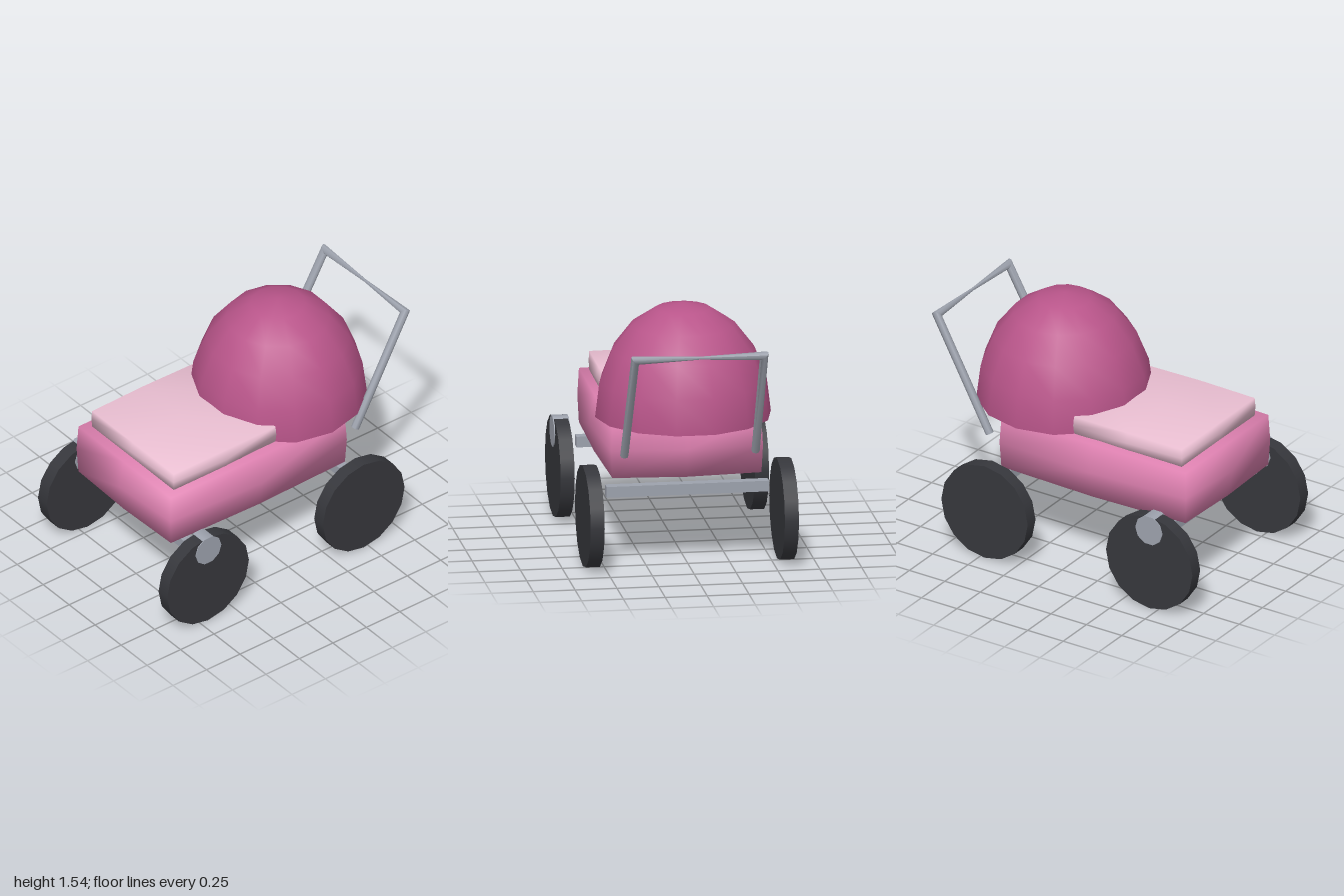
import * as THREE from 'three';
import { mergeVertices, toCreasedNormals } from 'three/addons/utils/BufferGeometryUtils.js';

const mat = (color, side = THREE.FrontSide) => new THREE.MeshStandardMaterial({ color, side });

function part(parent, name, geometry, material, x = 0, y = 0, z = 0) {
  const mesh = new THREE.Mesh(geometry, material);
  mesh.name = name;
  mesh.position.set(x, y, z);
  parent.add(mesh);
  return mesh;
}

// Soft box: face centres swell out fully, edge midpoints a little, corners stay
function pillow(w, h, d, swell) {
  let g = new THREE.BoxGeometry(w, h, d, 2, 2, 2);
  g.deleteAttribute('normal');
  g.deleteAttribute('uv');
  g = mergeVertices(g);
  const p = g.attributes.position;
  for (let i = 0; i < p.count; i++) {
    const v = [p.getX(i), p.getY(i), p.getZ(i)];
    const used = v.filter((c) => Math.abs(c) > 1e-4).length;
    const amount = [0, swell, swell * 0.2, 0][used];
    p.setXYZ(i, ...v.map((c) => (Math.abs(c) > 1e-4 ? c + Math.sign(c) * amount : 0)));
  }
  g.computeVertexNormals();
  return g;
}

// Bent bar: rings of points skinned together and capped at both ends
function loft(rings, sides) {
  const pos = [], index = [];
  for (const { c, u, v } of rings) {
    for (let i = 0; i < sides; i++) {
      const a = (i / sides) * Math.PI * 2;
      const q = c.clone().addScaledVector(u, Math.cos(a)).addScaledVector(v, Math.sin(a));
      pos.push(q.x, q.y, q.z);
    }
  }
  for (let r = 0; r < rings.length - 1; r++) {
    for (let i = 0; i < sides; i++) {
      const a = r * sides + i, b = r * sides + ((i + 1) % sides);
      index.push(a, b, b + sides, a, b + sides, a + sides);
    }
  }
  const last = (rings.length - 1) * sides;
  for (let i = 1; i < sides - 1; i++) {
    index.push(0, i + 1, i, last, last + i, last + i + 1);
  }
  const g = new THREE.BufferGeometry();
  g.setAttribute('position', new THREE.Float32BufferAttribute(pos, 3));
  g.setIndex(index);
  return toCreasedNormals(g, Math.PI / 3.2);
}

function handleGeometry() {
  const r = 0.025;
  const foot = new THREE.Vector3(0.392, 0.695, -0.582);
  const corner = new THREE.Vector3(0.385, 1.375, -0.96);
  const up = new THREE.Vector3(0, corner.y - foot.y, corner.z - foot.z).normalize();
  const flat = new THREE.Vector3(0, -up.z, up.y);
  const at = (p, s) => new THREE.Vector3(p.x * s, p.y, p.z);
  const ring = (c, x, y, size) => ({
    c,
    u: new THREE.Vector3(x, 0, 0).addScaledVector(up, y).multiplyScalar(size),
    v: flat.clone().multiplyScalar(size),
  });
  return loft([
    ring(at(foot, -1), -1, 0, r),
    ring(at(corner, -1), -1, 1, r),
    ring(at(corner, 0), 0, 1, 0.009), // crossbar narrows in the middle
    ring(at(corner, 1), 1, 1, r),
    ring(at(foot, 1), 1, 0, r),
  ], 8);
}

export function createModel() {
  const group = new THREE.Group();
  group.name = 'babyCarriage';
  const pink = mat(0xdb7fae), palePink = mat(0xeabfd2), rose = mat(0xb9558a);
  const rubber = mat(0x36373c), metal = mat(0x9da2ad, THREE.DoubleSide);

  // Basket and cover
  part(group, 'basket', pillow(0.89, 0.33, 1.3, 0.04), pink, 0, 0.695, 0.185);
  part(group, 'blanket', pillow(0.785, 0.115, 0.76, 0.018), palePink, 0, 0.92, 0.393);

  // Hood: tall half dome closed by a flat underside
  const hood = new THREE.Group();
  hood.name = 'hood';
  hood.position.set(0, 0.865, -0.31);
  group.add(hood);
  const dome = new THREE.SphereGeometry(0.525, 14, 5, 0, Math.PI * 2, 0, Math.PI / 2);
  dome.scale(1, 0.68 / 0.525, 1);
  part(hood, 'hoodDome', dome, rose);
  part(hood, 'hoodUnderside', new THREE.CircleGeometry(0.525, 14).rotateX(Math.PI / 2), rose);

  // Push handle
  part(group, 'handle', handleGeometry(), metal);

  // Axles, wheels and front wheel caps
  const wheel = new THREE.CylinderGeometry(0.305, 0.305, 0.084, 16).rotateZ(Math.PI / 2);
  const cap = new THREE.CylinderGeometry(0.095, 0.095, 0.096, 10).rotateZ(Math.PI / 2);
  for (const [end, z] of [['front', 0.695], ['rear', -0.468]]) {
    part(group, end + 'Axle', new THREE.BoxGeometry(0.97, 0.065, 0.065), metal, 0, 0.453, z);
    for (const [side, s] of [['Left', 1], ['Right', -1]]) {
      part(group, end + side + 'Wheel', wheel, rubber, s * 0.58, 0.305, z);
      if (end === 'front') part(group, end + side + 'Cap', cap, metal, s * 0.58, 0.52, z);
    }
  }
  return group;
}
